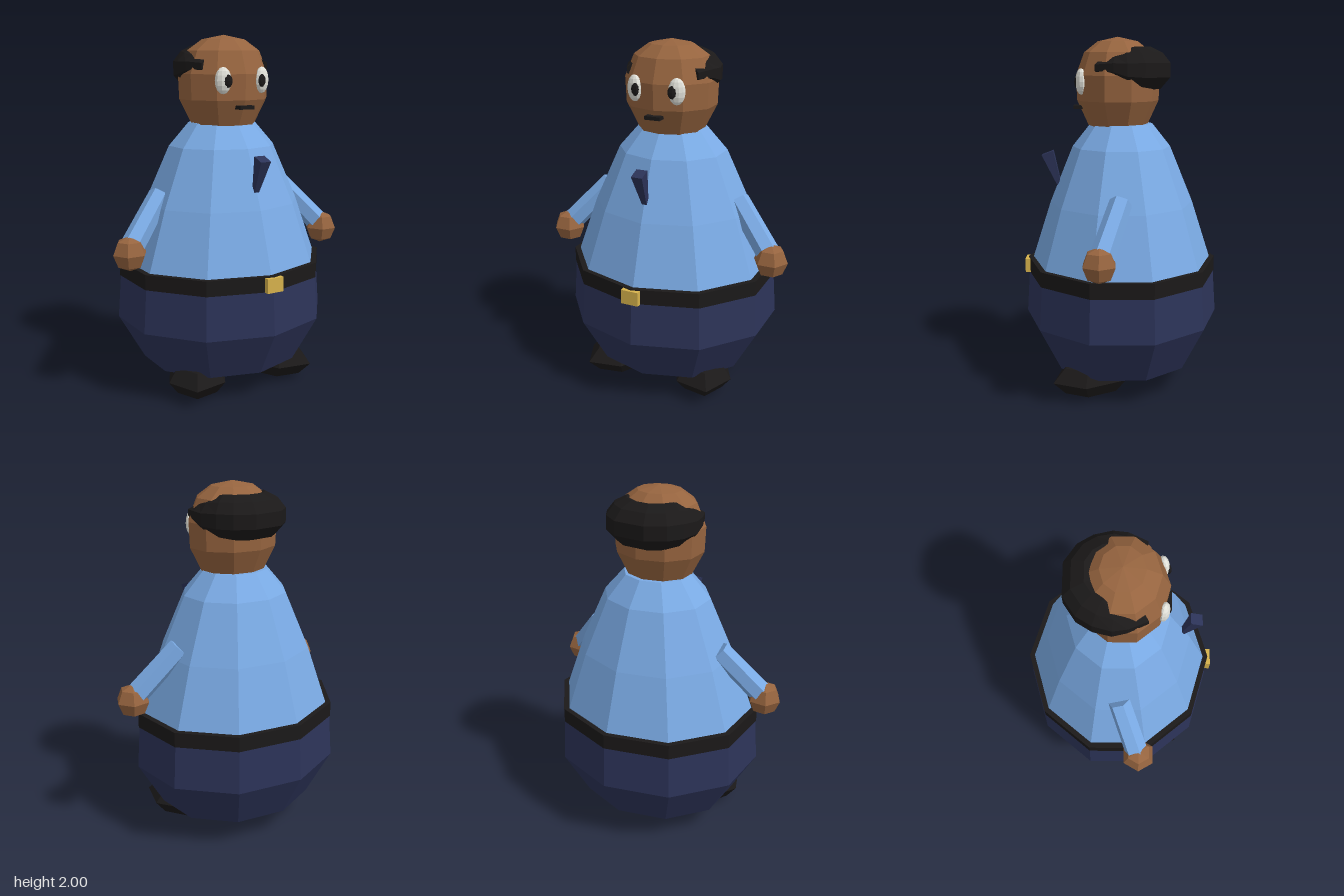
import * as THREE from 'three';

const mat = (color, extra = {}) => new THREE.MeshStandardMaterial({ color, flatShading: true, ...extra });

// Ten-sided turned shape, slightly flattened front to back; points run upward
function turned(points) {
  const g = new THREE.LatheGeometry(points.map(([r, y]) => new THREE.Vector2(r, y)), 10);
  return g.scale(1, 1, 0.9);
}

// Closed skin through rings of [x, y, z] corners, capped at both ends
function loft(rings) {
  const n = rings[0].length, index = [];
  for (let s = 0; s < rings.length - 1; s++) {
    for (let i = 0; i < n; i++) {
      const j = (i + 1) % n, a = s * n, b = a + n;
      index.push(a + i, a + j, b + j, a + i, b + j, b + i);
    }
  }
  const last = (rings.length - 1) * n;
  for (let i = 1; i < n - 1; i++) index.push(0, i + 1, i, last, last + i, last + i + 1);
  const g = new THREE.BufferGeometry();
  g.setAttribute('position', new THREE.Float32BufferAttribute(rings.flat(2), 3));
  g.setIndex(index);
  g.computeVertexNormals();
  return g;
}

export function createModel() {
  const model = new THREE.Group();
  const skin = mat(0x96643f), shirt = mat(0x7aaae4), navy = mat(0x2c3358);
  const black = mat(0x1b1919), gold = mat(0xd6b24c), white = mat(0xe2e2da);

  const add = (name, geometry, material, x = 0, y = 0, z = 0) => {
    const mesh = new THREE.Mesh(geometry, material);
    mesh.name = name;
    mesh.position.set(x, y, z);
    model.add(mesh);
    return mesh;
  };

  // Body
  add('trousers', turned([[0, 0.15], [0.47, 0.15], [0.62, 0.41], [0.6, 0.67], [0, 0.67]]), navy);
  add('belt', turned([[0.56, 0.655], [0.606, 0.655], [0.606, 0.74], [0.56, 0.74]]), black);
  add('shirt', turned([[0.58, 0.7], [0.573, 0.74], [0.455, 1.07], [0.31, 1.39], [0.195, 1.52], [0, 1.52]]), shirt);
  add('buckle', new THREE.BoxGeometry(0.1, 0.08, 0.05), gold, 0, 0.695, 0.535);

  // Tie: a wedge widening upward and leaning away from the chest
  const tieRing = (w, yf, zf, yb, zb) => [[w, yf, zf], [w, yb, zb], [-w, yb, zb], [-w, yf, zf]];
  add('tie', loft([tieRing(0.014, 1.165, 0.37, 1.165, 0.345), tieRing(0.032, 1.34, 0.455, 1.365, 0.39)]), navy);

  // Head
  add('head', turned([[0, 1.505], [0.185, 1.51], [0.256, 1.65], [0.262, 1.79], [0.21, 1.915], [0.125, 1.975], [0, 2]]),
    skin, 0, 0, 0.02);
  add('mouth', new THREE.BoxGeometry(0.09, 0.02, 0.06), black, 0, 1.613, 0.24);

  // Hair band around the back: outer x, z, bottom y, top y of the left half
  const half = [
    [0.09, -0.27, 1.715, 1.945], [0.19, -0.205, 1.715, 1.945], [0.24, -0.125, 1.715, 1.945],
    [0.265, -0.03, 1.73, 1.93], [0.255, 0.045, 1.77, 1.91], [0.21, 0.145, 1.79, 1.885],
  ];
  const hairRing = ([x, z, lo, hi]) => {
    const h = hi - lo;
    return [[0.5, 0], [0.8, 0], [1, 0.28], [1, 0.62], [0.84, 0.86], [0.6, 1], [0.35, 0.9]]
      .map(([f, t]) => [x * f, lo + h * t, z * f]);
  };
  const mirrored = half.map(([x, ...rest]) => [-x, ...rest]).reverse();
  add('hair', loft([...mirrored, ...half].map(hairRing)), black);

  for (const s of [1, -1]) {
    const side = s > 0 ? 'left' : 'right';

    // Eyes
    const eye = add(side + 'Eye', new THREE.SphereGeometry(1, 10, 8), white, s * 0.123, 1.757, 0.222);
    eye.scale.set(0.046, 0.072, 0.03);
    eye.rotation.y = s * 0.3;
    const pupil = add(side + 'Pupil', new THREE.SphereGeometry(1, 8, 6), black, s * 0.109, 1.755, 0.246);
    pupil.scale.set(0.027, 0.036, 0.014);
    pupil.rotation.y = s * 0.3;

    // Arm as a six-sided sleeve
    const from = new THREE.Vector3(s * 0.4, 1.135, 0.005), to = new THREE.Vector3(s * 0.62, 0.89, 0.105);
    const dir = to.clone().sub(from);
    const sleeve = add(side + 'Sleeve', new THREE.CylinderGeometry(0.062, 0.066, dir.length(), 6), shirt);
    sleeve.position.copy(from).add(to).multiplyScalar(0.5);
    sleeve.quaternion.setFromUnitVectors(new THREE.Vector3(0, -1, 0), dir.normalize());

    // Hand
    add(side + 'Hand', new THREE.SphereGeometry(0.096, 6, 4), skin, s * 0.639, 0.855, 0.117);

    // Shoe, toe turned outward
    const shoe = add(side + 'Shoe', new THREE.SphereGeometry(1, 6, 4), black, s * 0.26, 0.105, 0.162);
    shoe.scale.set(0.25, 0.105, 0.18);
    shoe.rotation.y = -Math.PI / 2 + s * 0.5;
  }
  return model;
}
